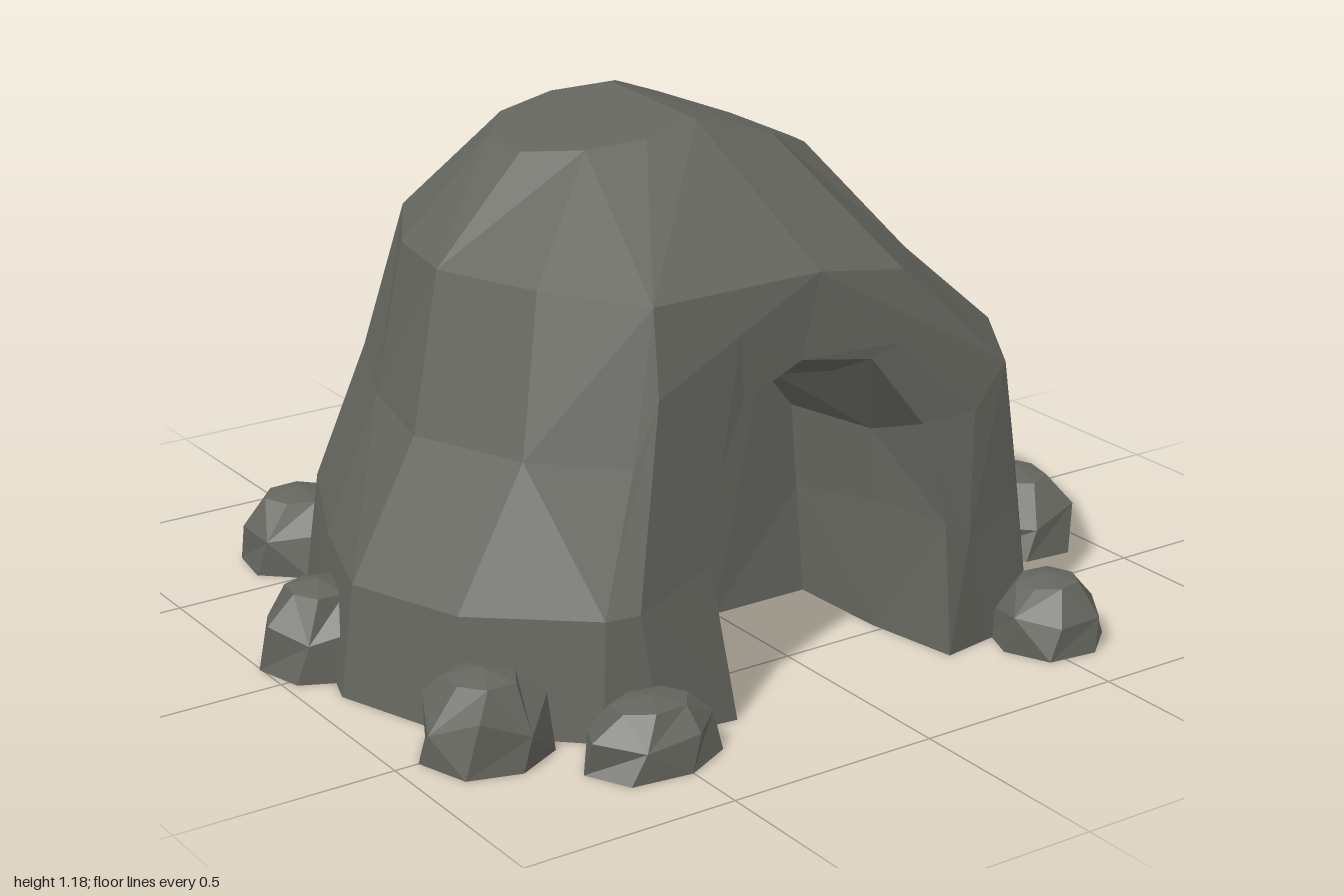
import * as THREE from 'three';

const stone = new THREE.MeshStandardMaterial({ color: 0x65655f });
stone.name = 'stone grey';
stone.flatShading = true;
stone.side = THREE.DoubleSide;

// Skin a list of rows of [x, y, z] points, alternating the quad diagonals
function skin(name, rows) {
  const pos = [];
  const same = (a, b) => a.every((v, i) => Math.abs(v - b[i]) < 1e-6);
  const tri = (a, b, c) => {
    if (!same(a, b) && !same(b, c) && !same(a, c)) pos.push(...a, ...b, ...c);
  };
  for (let r = 0; r < rows.length - 1; r++) {
    for (let c = 0; c < rows[r].length - 1; c++) {
      const a = rows[r][c], b = rows[r][c + 1], d = rows[r + 1][c], e = rows[r + 1][c + 1];
      if ((r + c) % 2) { tri(a, b, e); tri(a, e, d); }
      else { tri(a, b, d); tri(b, e, d); }
    }
  }
  const g = new THREE.BufferGeometry();
  g.setAttribute('position', new THREE.Float32BufferAttribute(pos, 3));
  g.computeVertexNormals();
  const mesh = new THREE.Mesh(g, stone);
  mesh.name = name;
  return mesh;
}

// Arches, each from the left foot over the top to the right foot
const outerArch = [
  [0.42, 0, 0.68], [0.37, 0.25, 0.67], [0.4, 0.54, 0.64], [0.21, 0.725, 0.605], [0.02, 0.91, 0.57],
  [-0.2, 0.815, 0.59], [-0.42, 0.72, 0.61], [-0.5, 0.28, 0.66], [-0.46, 0, 0.68],
];
const mouthArch = [
  [0.3, 0, 0.7], [0.31, 0.3, 0.66], [0.27, 0.53, 0.62], [0.14, 0.7, 0.6], [-0.04, 0.73, 0.59],
  [-0.2, 0.67, 0.6], [-0.27, 0.54, 0.62], [-0.31, 0.34, 0.64], [-0.28, 0, 0.7],
];
const innerArch = [
  [0.26, 0, 0.47], [0.27, 0.3, 0.46], [0.26, 0.47, 0.45], [0.16, 0.62, 0.43], [0, 0.64, 0.42],
  [-0.15, 0.62, 0.43], [-0.23, 0.54, 0.44], [-0.26, 0.4, 0.46], [-0.26, 0, 0.47],
];
const backArch = [
  [0.25, 0, 0.22], [0.25, 0.25, 0.19], [0.24, 0.45, 0.18], [0.15, 0.56, 0.18], [0.02, 0.56, 0.18],
  [-0.08, 0.56, 0.18], [-0.17, 0.5, 0.18], [-0.24, 0.42, 0.18], [-0.25, 0, 0.22],
];

// Dome outlines [x, z] from the left of the mouth around the back
const ground = [
  [0.56, 0.66], [0.77, 0.4], [0.87, 0.08], [0.74, -0.39], [0.46, -0.65], [0.12, -0.79],
  [-0.3, -0.77], [-0.67, -0.5], [-0.82, -0.17], [-0.92, 0.13], [-0.82, 0.42], [-0.58, 0.64],
];
const shoulder = [
  [0.5, 0.62], [0.65, 0.38], [0.74, 0.08], [0.68, -0.32], [0.42, -0.57], [0.1, -0.69],
  [-0.26, -0.68], [-0.53, -0.44], [-0.66, -0.15], [-0.72, 0.12], [-0.62, 0.4], [-0.47, 0.59],
];
const brow = [
  [0.26, 0.55], [0.44, 0.33], [0.5, 0.08], [0.49, -0.27], [0.32, -0.52], [0.08, -0.54],
  [-0.2, -0.53], [-0.44, -0.4], [-0.58, -0.16], [-0.62, 0.06], [-0.53, 0.32], [-0.4, 0.56],
];
const crown = [
  [0.17, 0.19], [0.28, 0.16], [0.32, 0.05], [0.36, -0.24], [0.2, -0.31], [0.05, -0.26],
  [-0.12, -0.27], [-0.26, -0.26], [-0.36, -0.15], [-0.37, 0], [-0.28, 0.12], [-0.16, 0.18],
];
// Dome levels: outline, its scale, height, tilt along x, sag to the sides
const levels = [
  [ground, 1, 0, 0, 0],
  [ground, 0.96, 0.28, 0.03, 0],
  [shoulder, 1, 0.6, 0.06, 0],
  [brow, 1, 0.92, -0.08, 0.12],
  [crown, 1, 1.17, -0.1, 0.28],
];

function dome() {
  const rows = levels.map(([outline, scale, y, tilt, sag], r) => {
    const ring = outline.map(([x, z]) => [x * scale, y + tilt * x - sag * Math.abs(x), z * scale]);
    const front = r === 3 ? outerArch[4] : [-0.03, 1.165, 0.18];
    const ends = r < 3 ? [outerArch[r], outerArch[8 - r]] : [front, front];
    return [ends[0], ...ring, ends[1]];
  });
  rows.push(rows[0].map(() => [-0.03, 1.18, -0.15]));
  return skin('dome', rows);
}

// Half-buried boulders: x, z, half width in x, half width in z, height
const boulders = [
  [-0.28, -0.74, 0.15, 0.135, 0.16], [0.19, -0.74, 0.16, 0.135, 0.17],
  [0.53, -0.59, 0.15, 0.135, 0.17], [-0.62, -0.62, 0.15, 0.135, 0.18],
  [0.79, -0.2, 0.15, 0.17, 0.27], [0.86, 0.24, 0.14, 0.17, 0.19],
  [0.54, 0.745, 0.13, 0.125, 0.16], [-0.53, 0.74, 0.16, 0.12, 0.14],
  [-0.8, 0.52, 0.14, 0.145, 0.19], [-0.87, -0.06, 0.13, 0.135, 0.2],
];
// Boulder section from the flat underside to the crown: radius, height
const section = [[0, 0], [1.02, 0], [0.94, 0.5], [0.55, 0.9], [0, 1]];

function boulder([x, z, rx, rz, h], n) {
  const sides = 7;
  const rows = section.map(([r, y], k) => Array.from({ length: sides + 1 }, (_, c) => {
    const i = c % sides;
    const w = 1 + 0.05 * Math.sin(i * 2.3 + k * 1.7 + n * 2.9);
    const a = (i / sides) * Math.PI * 2 + n * 0.8 + k * 0.2;
    const lift = k === 2 ? 0.12 * Math.sin(i * 3.1 + n) : 0;
    return [Math.cos(a) * r * rx * w, (y + lift) * h, -Math.sin(a) * r * rz * w];
  }));
  const mesh = skin('boulder' + (n + 1), rows);
  mesh.position.set(x, 0, z);
  return mesh;
}

export function createModel() {
  const cave = new THREE.Group();
  cave.name = 'rockCave';
  cave.add(dome());
  cave.add(skin('entranceFrame', [outerArch, mouthArch]));
  cave.add(skin('tunnel', [mouthArch, innerArch, backArch]));
  cave.add(skin('tunnelBackWall', [backArch, backArch.map(() => [0, 0, 0.22])]));
  const stones = new THREE.Group();
  stones.name = 'boulders';
  boulders.forEach((b, i) => stones.add(boulder(b, i)));
  cave.add(stones);
  return cave;
}
